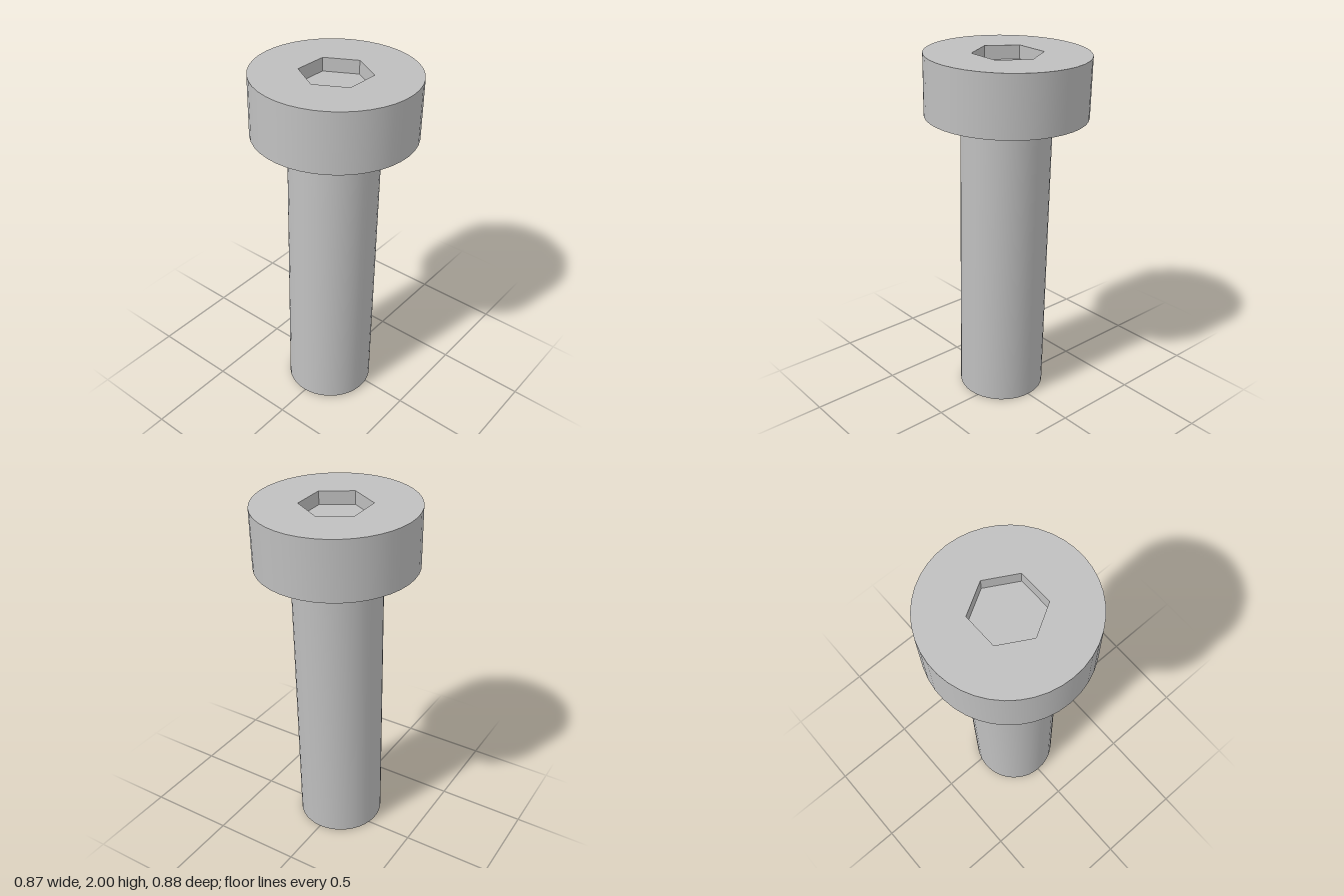
import * as THREE from 'three';

const SEGMENTS = 42;
const LENGTH = 1.98, HEAD_HEIGHT = 0.327, HEAD_RADIUS = 0.437, SHANK_RADIUS = 0.245;
const SOCKET_RADIUS = 0.19, SOCKET_DEPTH = 0.074, TILT = 0.0315;
const SHANK_LENGTH = LENGTH - HEAD_HEIGHT;

// Points of a regular polygon with one corner on the z axis
function polygon(radius, sides) {
  return Array.from({ length: sides }, (_, i) => {
    const a = (i / sides) * Math.PI * 2;
    return new THREE.Vector2(Math.sin(a) * radius, Math.cos(a) * radius);
  });
}

// Flat horizontal face, optionally with a hole, facing up or down
function face(outer, hole, y, up) {
  const shape = new THREE.Shape(outer);
  if (hole) shape.holes.push(new THREE.Path(hole));
  return new THREE.ShapeGeometry(shape).rotateX(up ? -Math.PI / 2 : Math.PI / 2).translate(0, y, 0);
}

// Open tube wall between two heights
function wall(radius, sides, bottom, top) {
  return new THREE.CylinderGeometry(radius, radius, top - bottom, sides, 1, true)
    .translate(0, (bottom + top) / 2, 0);
}

export function createModel() {
  const steel = new THREE.MeshStandardMaterial({ color: 0xbfbfbf });
  steel.name = 'steel grey';

  const model = new THREE.Group();
  model.name = 'socketHeadBolt';
  const bolt = new THREE.Group();
  bolt.name = 'bolt';
  model.add(bolt);
  const add = (name, geometry) => {
    const mesh = new THREE.Mesh(geometry, steel);
    mesh.name = name;
    bolt.add(mesh);
  };

  const headRim = polygon(HEAD_RADIUS, SEGMENTS);
  const shankRim = polygon(SHANK_RADIUS, SEGMENTS);
  const hex = polygon(SOCKET_RADIUS, 6);

  // Shank
  add('shank', wall(SHANK_RADIUS, SEGMENTS, 0, SHANK_LENGTH));
  add('shankEnd', face(shankRim, null, 0, false));

  // Head
  add('headSide', wall(HEAD_RADIUS, SEGMENTS, SHANK_LENGTH, LENGTH));
  add('headUnderside', face(headRim, shankRim, SHANK_LENGTH, false));
  add('headTop', face(headRim, hex, LENGTH, true));

  // Hexagonal socket, with its walls turned to face inward
  const socket = wall(SOCKET_RADIUS, 6, LENGTH - SOCKET_DEPTH, LENGTH).toNonIndexed();
  const p = socket.attributes.position;
  for (let i = 0; i < p.count; i++) p.setX(i, -p.getX(i));
  socket.computeVertexNormals();
  add('socketWalls', socket);
  add('socketFloor', face(hex, null, LENGTH - SOCKET_DEPTH, true));

  // The whole bolt leans slightly backward
  bolt.rotation.x = -TILT;
  bolt.position.set(0, SHANK_RADIUS * Math.sin(TILT), 0.057);
  return model;
}
